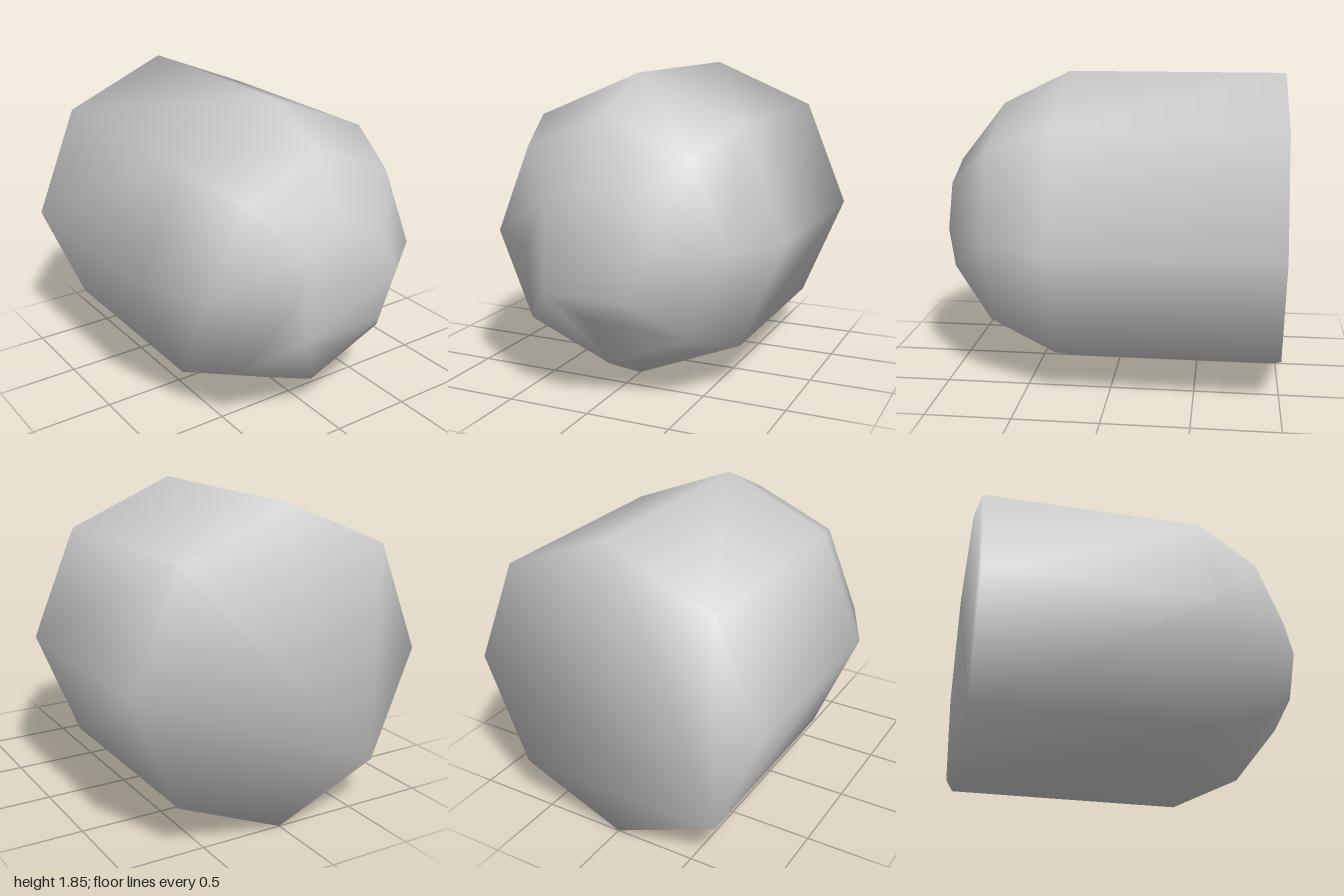
import * as THREE from 'three';

const SIDES = 8;
const CENTRE_Y = 0.925;

// cross-sections from the flat back to the blunt nose: [z, radius]
const RINGS = [[-1, 0.925], [0.31, 0.925], [0.72, 0.725], [1, 0.37]];

// closed eight-sided body, vertices shared so that walls and ends shade as one
function bulletGeometry() {
  const positions = [];
  const indices = [];
  for (const [z, r] of RINGS) {
    for (let k = 0; k < SIDES; k++) {
      const a = (k / SIDES) * Math.PI * 2;
      positions.push(r * Math.cos(a), CENTRE_Y + r * Math.sin(a), z);
    }
  }
  const at = (ring, k) => ring * SIDES + (k % SIDES);
  const last = RINGS.length - 1;

  // walls
  for (let ring = 0; ring < last; ring++) {
    for (let k = 0; k < SIDES; k++) {
      const a = at(ring, k), b = at(ring, k + 1);
      const c = at(ring + 1, k), d = at(ring + 1, k + 1);
      indices.push(c, a, b, c, b, d);
    }
  }

  // flat ends, fanned from one lower corner
  const s = 5;
  for (let i = 1; i < SIDES - 1; i++) {
    indices.push(at(0, s), at(0, s + i + 1), at(0, s + i));
    indices.push(at(last, s), at(last, s + i), at(last, s + i + 1));
  }

  const geometry = new THREE.BufferGeometry();
  geometry.setAttribute('position', new THREE.Float32BufferAttribute(positions, 3));
  geometry.setIndex(indices);
  geometry.computeVertexNormals();
  return geometry;
}

export function createModel() {
  const group = new THREE.Group();
  group.name = 'bullet';
  const grey = new THREE.MeshStandardMaterial({ color: 0xcccccc });
  grey.name = 'light grey';
  const body = new THREE.Mesh(bulletGeometry(), grey);
  body.name = 'body';
  group.add(body);
  return group;
}
